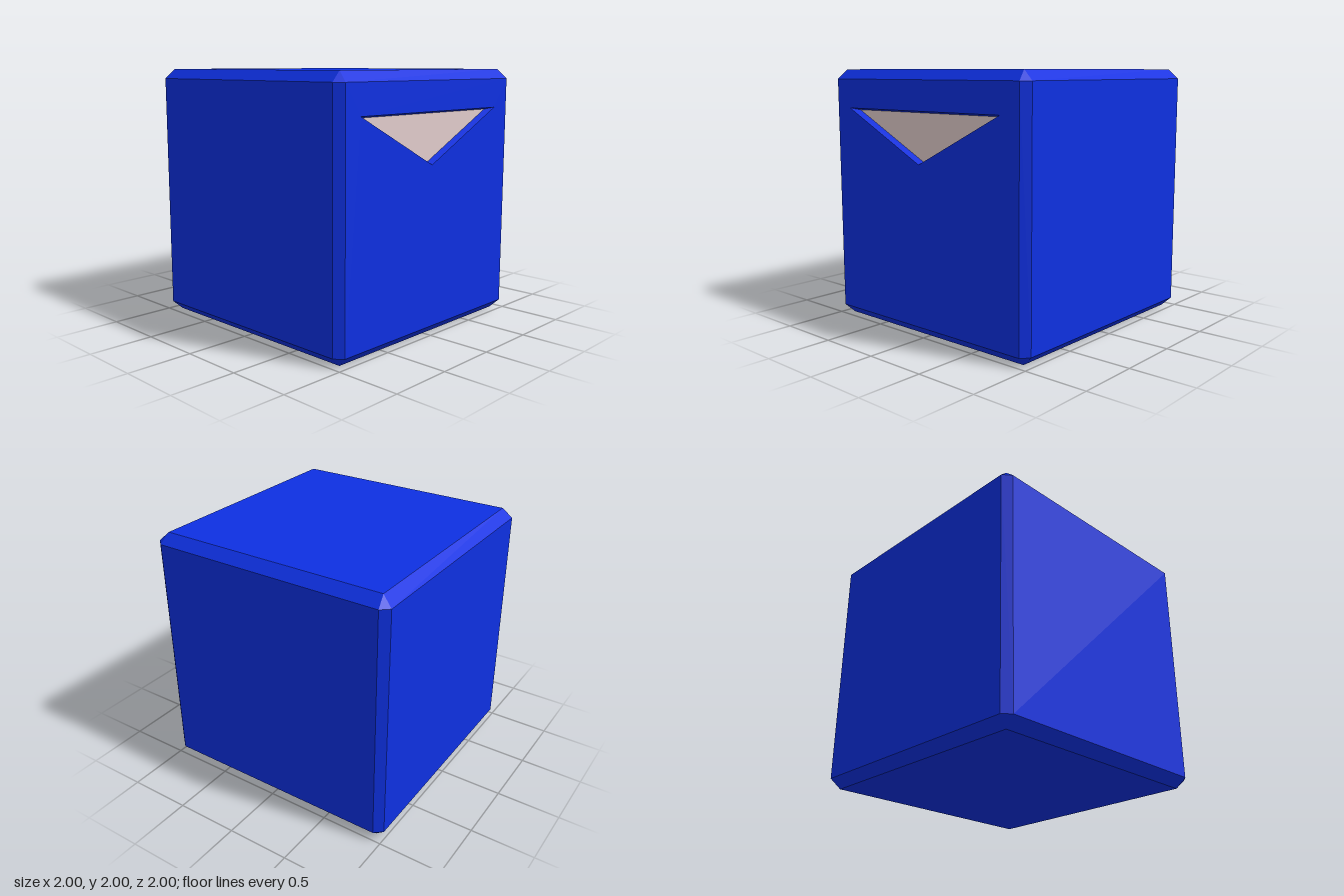
import * as THREE from 'three';

// Flat polygons (convex, each fanned into triangles) turned to face along their given direction
function facets(polys) {
  const pos = [];
  for (const { pts, out } of polys) {
    const [a, b, c] = pts;
    const n = b.clone().sub(a).cross(c.clone().sub(a));
    const p = n.dot(out) < 0 ? [...pts].reverse() : pts;
    for (let i = 1; i < p.length - 1; i++) pos.push(...p[0].toArray(), ...p[i].toArray(), ...p[i + 1].toArray());
  }
  const g = new THREE.BufferGeometry();
  g.setAttribute('position', new THREE.Float32BufferAttribute(pos, 3));
  g.computeVertexNormals();
  return g;
}

export function createModel() {
  const blue = new THREE.MeshStandardMaterial({ color: 0x0e30e2 });
  blue.name = 'blue';
  const beige = new THREE.MeshStandardMaterial({ color: 0xe2cdcc });
  beige.name = 'pale beige';

  const model = new THREE.Group();
  model.name = 'chamferedCube';
  const add = (name, geometry, material) => {
    const m = new THREE.Mesh(geometry, material);
    m.name = name;
    model.add(m);
  };
  const v = (x, y, z) => new THREE.Vector3(x, y, z);

  // Corner of the flat face on each axis; the gaps between faces are the chamfers
  const faceCorner = [[1, 0.925, 0.945], [0.923, 1, 0.92], [0.937, 0.925, 1]];
  const corner = (axis, s) => v(...faceCorner[axis].map((d, i) => d * s[i] + (i === 1 ? 1 : 0)));
  const S = [-1, 1];

  const faces = [], chamfers = [], tips = [];
  for (let a = 0; a < 3; a++) {
    const b = (a + 1) % 3, c = (a + 2) % 3;
    const signs = (sa, sb, sc) => { const s = []; s[a] = sa; s[b] = sb; s[c] = sc; return s; };
    for (const sa of S) {
      // Flat face; the +x one is made separately because of its recess
      if (!(a === 0 && sa === 1)) {
        const ring = [[-1, -1], [1, -1], [1, 1], [-1, 1]];
        faces.push({ pts: ring.map(([p, q]) => corner(a, signs(sa, p, q))), out: v(...signs(sa, 0, 0)) });
      }
      // Chamfer between the faces on axes a and b
      for (const sb of S) {
        const lo = signs(sa, sb, -1), hi = signs(sa, sb, 1);
        chamfers.push({ pts: [corner(a, lo), corner(a, hi), corner(b, hi), corner(b, lo)], out: v(...signs(sa, sb, 0)) });
      }
    }
  }
  // Small triangles at the eight corners
  for (const x of S) for (const y of S) for (const z of S) {
    tips.push({ pts: [0, 1, 2].map((a) => corner(a, [x, y, z])), out: v(x, y, z) });
  }
  add('faces', facets(faces), blue);
  add('chamfers', facets(chamfers), blue);
  add('cornerTips', facets(tips), blue);

  // Left side face with a triangular opening, drawn in (-z, y)
  const rim = [[-0.8, 1.7], [0.775, 1.7], [-0.02, 1.31]];
  const floor = [[-0.735, 1.686], [0.71, 1.686], [-0.02, 1.327]];
  const vec2 = (p) => p.map(([u, w]) => new THREE.Vector2(u, w));
  const side = new THREE.Shape(vec2([[-0.945, 0.075], [0.945, 0.075], [0.945, 1.925], [-0.945, 1.925]]));
  side.holes.push(new THREE.Path(vec2(rim)));
  add('leftSideFace', new THREE.ShapeGeometry(side).rotateY(Math.PI / 2).translate(1, 0, 0), blue);

  // Sloping walls of the recess and its pale floor
  const depth = 0.05;
  const at = ([u, w], x) => v(x, w, -u);
  const walls = rim.map((p, i) => {
    const j = (i + 1) % 3;
    const pts = [at(p, 1), at(rim[j], 1), at(floor[j], 1 - depth), at(floor[i], 1 - depth)];
    const mid = pts[0].clone().add(pts[1]).multiplyScalar(0.5);
    return { pts, out: v(1, 1.56, 0).sub(mid) };
  });
  add('recessWalls', facets(walls), blue);
  add('recessFloor', facets([{ pts: floor.map((p) => at(p, 1 - depth)), out: v(1, 0, 0) }]), beige);

  return model;
}
